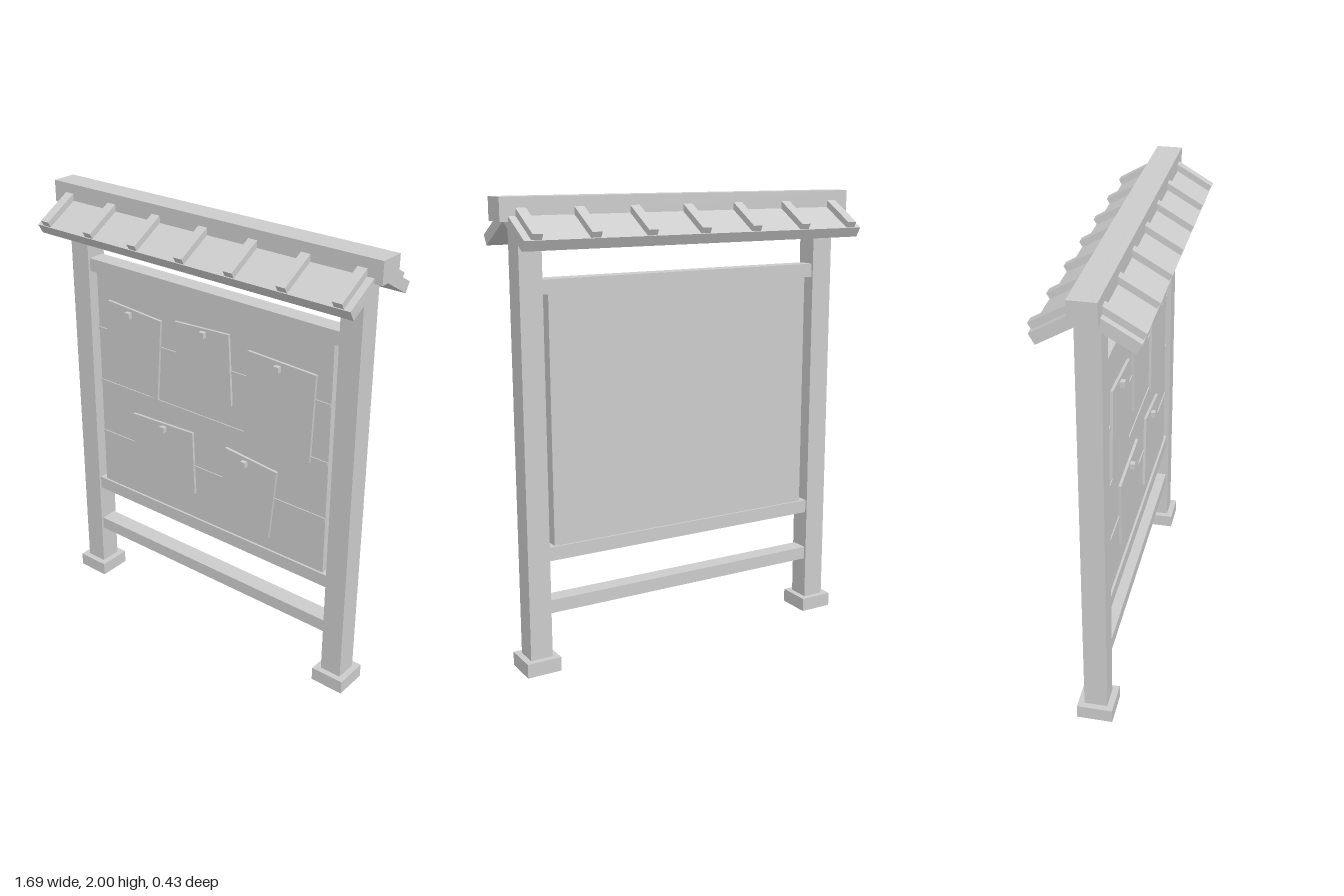
import * as THREE from 'three';

export function createModel() {
  const model = new THREE.Group();
  model.name = 'noticeBoard';
  const grey = new THREE.MeshStandardMaterial({ color: 0xcccccc });
  grey.name = 'plain grey';

  // Box given by its size and centre
  const box = (name, w, h, d, x, y, z, parent = model) => {
    const mesh = new THREE.Mesh(new THREE.BoxGeometry(w, h, d), grey);
    mesh.name = name;
    mesh.position.set(x, y, z);
    parent.add(mesh);
    return mesh;
  };

  // Posts on square feet
  for (const side of [-1, 1]) {
    box('foot', 0.155, 0.062, 0.155, side * 0.72, 0.031, 0);
    box('post', 0.1, 1.85, 0.1, side * 0.72, 0.985, 0);
  }

  // Cross rails between the posts
  box('lowerRail', 1.34, 0.058, 0.08, 0, 0.283, 0);
  box('boardBottomRail', 1.34, 0.06, 0.08, 0, 0.518, 0);
  box('boardTopRail', 1.34, 0.06, 0.08, 0, 1.643, 0);
  box('topBeam', 1.34, 0.11, 0.08, 0, 1.847, 0);

  // Board with thin strips over the plank seams
  box('board', 1.277, 1.08, 0.06, 0, 1.081, 0);
  for (const y of [0.814, 1.081, 1.345]) box('seamStrip', 1.277, 0.014, 0.006, 0, y, 0.032);

  // Notices: x, y, width, height, tilt in degrees, pin x, pin y
  const notices = [
    [-0.422, 1.296, 0.313, 0.386, -4, -0.434, 1.463],
    [-0.015, 1.345, 0.297, 0.326, 3.1, -0.008, 1.484],
    [0.39, 1.267, 0.342, 0.4, -2.1, 0.384, 1.439],
    [-0.249, 0.827, 0.357, 0.309, 2.3, -0.243, 0.958],
    [0.234, 0.798, 0.279, 0.34, -5.5, 0.222, 0.942],
  ];
  for (const [x, y, w, h, tilt, pinX, pinY] of notices) {
    box('notice', w, h, 0.012, x, y, 0.037).rotation.z = THREE.MathUtils.degToRad(tilt);
    box('pin', 0.026, 0.026, 0.022, pinX, pinY, 0.052);
  }

  // Ridge beam
  box('ridgeBeam', 1.692, 0.095, 0.113, 0, 1.9525, 0);

  // Two roof slopes with battens, mirrored about the ridge
  for (const turn of [0, Math.PI]) {
    const slope = new THREE.Group();
    slope.name = 'roofSlope';
    slope.rotation.set(Math.PI / 6, turn, 0, 'YXZ');
    slope.position.y = 1.959;
    box('roofBoard', 1.62, 0.048, 0.237, 0, -0.024, 0.1185, slope);
    for (let i = -3; i <= 3; i++) {
      box('roofBatten', 0.044, 0.029, 0.269, i * 0.2523, 0.0125, 0.0985, slope);
    }
    model.add(slope);
  }

  return model;
}
